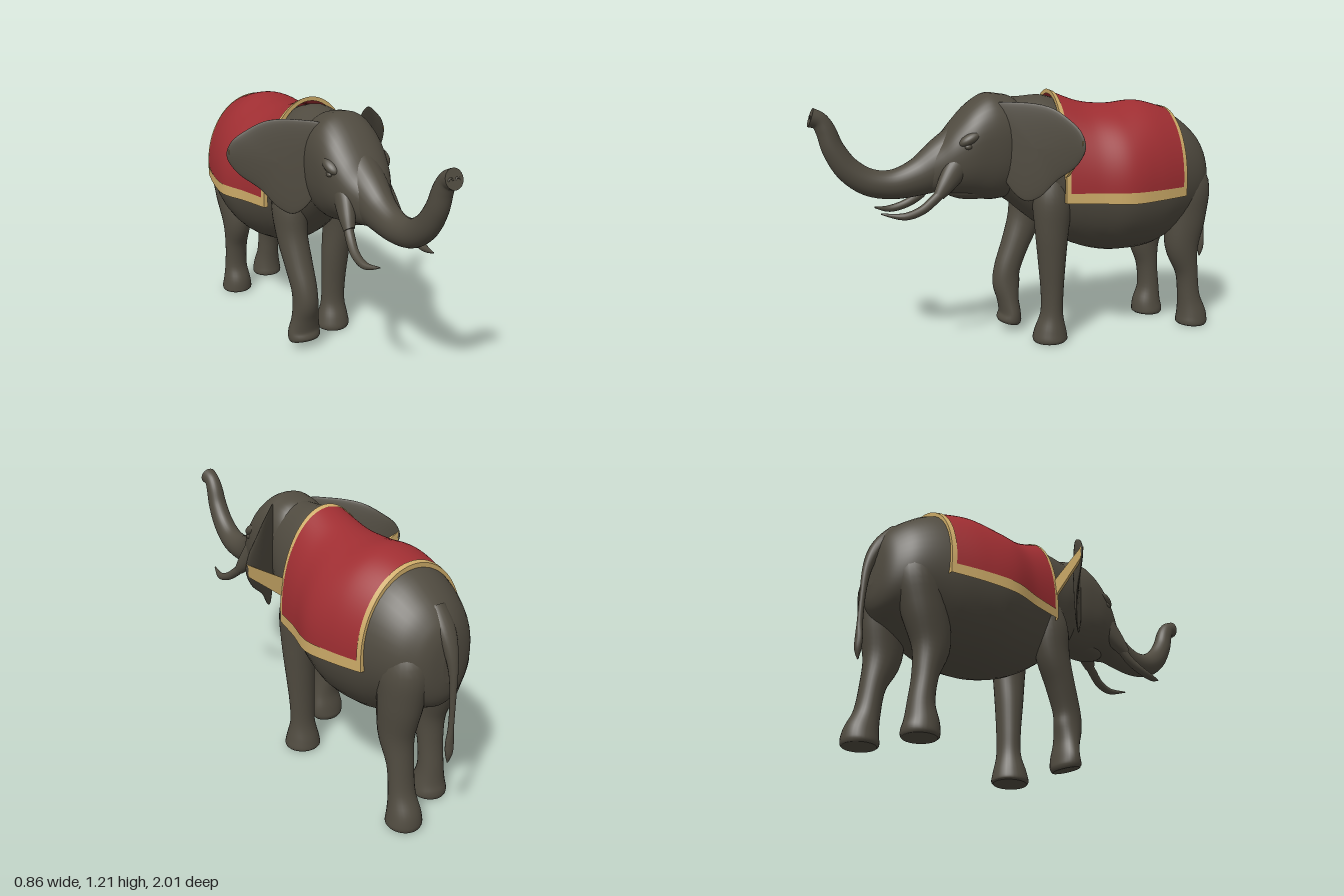
import * as THREE from 'three';

const hide = new THREE.MeshStandardMaterial({ color: 0x504b40 });
hide.name = 'hide grey';
const red = new THREE.MeshStandardMaterial({ color: 0x9f2e32, side: THREE.DoubleSide });
red.name = 'cloth red';
const gold = new THREE.MeshStandardMaterial({ color: 0xcdab68, side: THREE.DoubleSide });
gold.name = 'trim gold';

// Catmull-Rom sample of a list of number rows, t in 0..1
function sample(rows, t) {
  const n = rows.length - 1, f = Math.min(t * n, n - 1e-6), i = Math.floor(f), u = f - i;
  const at = k => rows[Math.max(0, Math.min(n, k))];
  return rows[i].map((_, c) => {
    const a = at(i - 1)[c], b = at(i)[c], d = at(i + 1)[c], e = at(i + 2)[c];
    return b + 0.5 * u * (d - a + u * (2 * a - 5 * b + 4 * d - e + u * (3 * (b - d) + e - a)));
  });
}

function geometry(pos, idx) {
  const g = new THREE.BufferGeometry();
  g.setAttribute('position', new THREE.Float32BufferAttribute(pos, 3));
  g.setIndex(idx);
  g.computeVertexNormals();
  return g;
}

// Joins closed rings of points and caps both ends with a crisp edge
function skin(rings) {
  const pos = [], idx = [], n = rings[0].length;
  rings.forEach(r => r.forEach(p => pos.push(p.x, p.y, p.z)));
  for (let i = 0; i < rings.length - 1; i++) {
    for (let j = 0; j < n; j++) {
      const a = i * n + j, b = i * n + (j + 1) % n;
      idx.push(a, b, a + n, b, b + n, a + n);
    }
  }
  [rings[0], rings[rings.length - 1]].forEach((r, end) => {
    const base = pos.length / 3, c = new THREE.Vector3();
    r.forEach(p => { c.add(p); pos.push(p.x, p.y, p.z); });
    c.divideScalar(n);
    pos.push(c.x, c.y, c.z);
    for (let j = 0; j < n; j++) {
      const k = (j + 1) % n;
      idx.push(base + n, base + (end ? j : k), base + (end ? k : j));
    }
  });
  return geometry(pos, idx);
}

// Smooth loft through rows of [x, y, z, halfWidth, halfDepth]; upright keeps the rings vertical
function loft(rows, { steps = 40, sides = 28, power = 1, taper = 0, upright = false } = {}) {
  const X = new THREE.Vector3(1, 0, 0), rings = [];
  const sp = v => Math.sign(v) * Math.pow(Math.abs(v), power);
  for (let i = 0; i <= steps; i++) {
    const t = i / steps;
    const [x, y, z, rx, ry] = sample(rows, t);
    const p = sample(rows, Math.max(0, t - 0.02)), q = sample(rows, Math.min(1, t + 0.02));
    const N = new THREE.Vector3(0, upright ? 0 : q[1] - p[1], q[2] - p[2]).normalize().cross(X);
    const ring = [];
    for (let j = 0; j < sides; j++) {
      const a = j / sides * Math.PI * 2, s = sp(Math.sin(a));
      const w = rx * sp(Math.cos(a)) * (1 + taper * s * N.y);
      ring.push(new THREE.Vector3(x + w, y + N.y * s * ry, z + N.z * s * ry));
    }
    rings.push(ring);
  }
  return skin(rings);
}

// Leaf-like ear, thick in the middle, swept back towards the rim
function earGeometry(s) {
  const outline = [[.09, 1.15], [.17, 1.165], [.27, 1.15], [.35, 1.1], [.41, 1.045], [.43, .98], [.39, .9],
    [.3, .82], [.24, .74], [.195, .715], [.155, .75], [.11, .87]].reverse();
  const curve = new THREE.CatmullRomCurve3(outline.map(([x, y]) => new THREE.Vector3(x, y, 0)), true);
  const pts = curve.getPoints(56).slice(0, -1), rings = [], n = 10;
  for (let i = -n; i <= n; i++) {
    const k = Math.max(.02, Math.cos(i / n * Math.PI / 2)), half = .02 * Math.sin(i / n * Math.PI / 2);
    rings.push(pts.map(p => {
      const x = .24 + (p.x - .24) * k, y = .96 + (p.y - .96) * k;
      const sweep = .12 - (x - .15) * .85 - .03 * Math.sin((x - .15) * 11);
      return new THREE.Vector3(s * x, y, sweep + half);
    }));
  }
  return skin(s > 0 ? rings : rings.reverse());
}

// Draped cloth: rows of [z, top, halfWidth, hem]
const drape = [[-.11, 1.205, .247, .70], [-.265, 1.15, .28, .695], [-.42, 1.135, .322, .69],
  [-.575, 1.145, .305, .695], [-.73, 1.105, .266, .70]];
function clothPoint(t, v, off) {
  const [z, top, w, hem] = sample(drape, t), a = Math.abs(v), s = Math.sign(v);
  if (a <= .85) {
    const g = a / .85 * Math.PI / 2;
    return [s * (w + off) * Math.sin(g), .76 + (top + off - .76) * Math.cos(g), z];
  }
  return [s * (w + off), .76 + (hem - .76) * (a - .85) / .15, z];
}
function patch(nu, nv, fn) {
  const pos = [], idx = [];
  for (let i = 0; i <= nu; i++) for (let j = 0; j <= nv; j++) {
    pos.push(...fn(i / nu, j / nv));
    if (i < nu && j < nv) {
      const a = i * (nv + 1) + j, b = a + nv + 1;
      idx.push(a, b, a + 1, a + 1, b, b + 1);
    }
  }
  return geometry(pos, idx);
}

export function createModel() {
  const model = new THREE.Group();
  const add = (name, geo, mat = hide) => {
    const m = new THREE.Mesh(geo, mat);
    m.name = name;
    model.add(m);
    return m;
  };
  const ball = (name, x, y, z, a, b, c) => {
    const m = add(name, new THREE.SphereGeometry(1, 24, 16));
    m.position.set(x, y, z);
    m.scale.set(a, b, c);
    return m;
  };

  // Body and neck, from [z, top, bottom, halfWidth]
  add('body', loft([[.2, 1.15, .74, .13], [.11, 1.175, .695, .16], [.03, 1.18, .63, .185], [-.06, 1.185, .56, .205],
    [-.13, 1.17, .51, .225], [-.21, 1.14, .465, .25], [-.32, 1.12, .425, .278], [-.45, 1.11, .405, .3],
    [-.62, 1.12, .415, .285], [-.75, 1.08, .47, .25], [-.85, 1.01, .52, .205], [-.91, .945, .55, .15],
    [-.94, .885, .6, .095], [-.952, .81, .67, .03]]
    .map(([z, t, b, w]) => [0, (t + b) / 2, z, w, (t - b) / 2]), { steps: 78, sides: 40, upright: true }));

  // Head, jaw and raised trunk
  add('head', loft([[0, .95, .02, .13, .18], [0, .95, .08, .15, .23], [0, .95, .14, .162, .245],
    [0, .95, .21, .165, .247], [0, .935, .29, .16, .21], [0, .9, .37, .138, .16], [0, .865, .43, .108, .12],
    [0, .84, .49, .07, .085]], { power: .85, taper: .06, sides: 40, steps: 48, upright: true }));
  ball('jaw', 0, .755, .26, .08, .05, .14);
  add('trunk', loft([[0, .93, .28, .12, .16], [0, .88, .4, .1, .125], [0, .825, .52, .073, .088],
    [0, .797, .64, .061, .068], [0, .813, .75, .056, .062], [0, .875, .84, .051, .057], [0, .965, .9, .047, .05],
    [0, 1.05, .93, .042, .044], [0, 1.095, .957, .038, .04], [0, 1.112, .995, .042, .043]], { steps: 60 }));

  for (const s of [1, -1]) {
    const side = s > 0 ? 'left' : 'right', low = s > 0 ? 0 : -.02;
    const nostril = add(side + 'Nostril', new THREE.TorusGeometry(.011, .004, 8, 16));
    nostril.position.set(s * .017, 1.105, .994);
    ball(side + 'Eye', s * .147, .97, .325, .013, .012, .018);
    ball(side + 'Brow', s * .125, 1.005, .31, .04, .028, .06).rotation.x = .5;
    add(side + 'Ear', earGeometry(s));

    // Tusk and its socket
    add(side + 'TuskSocket', loft([[s * .085, .95, .31, .045, .05], [s * .1, .87, .37, .042, .055],
      [s * .115, .8, .425, .036, .042], [s * .126, .755, .462, .026, .026]], { steps: 20 }));
    add(side + 'Tusk', loft([[s * .12, .785, .43, .022, .022], [s * .133, .738 + low, .485, .022, .022],
      [s * .148, .695 + low, .55, .02, .02], [s * .15, .675 + low, .63, .016, .016],
      [s * .128, .69 + low, .725 + low, .003, .003]], { steps: 24, sides: 16 }));

    // Hind leg, the right one a step further forward
    const f = s > 0 ? 0 : 1;
    add(side + 'HindLeg', loft([[s * .085, .9, -.78, .06, .06], [s * .11, .74, -.81 + f * .02, .105, .12],
      [s * .122, .58, -.81 + f * .05, .093, .108], [s * .125, .42, -.797 + f * .08, .074, .088],
      [s * .125, .28, -.83 + f * .095, .06, .056], [s * .125, .15, -.847 + f * .1, .06, .056],
      [s * .125, .06, -.865 + f * .125, .074, .075], [s * .125, .015, -.868 + f * .125, .08, .08],
      [s * .125, 0, -.868 + f * .125, .072, .072]]));

    // Gold strip rising along the back edge of the ear
    const strip = new THREE.Shape([[.24, .82], [.415, .95], [.424, 1.01], [.24, .91]]
      .map(([x, y]) => new THREE.Vector2(s * x, y)));
    add(side + 'EarTrim', new THREE.ExtrudeGeometry(strip, { depth: .012, bevelEnabled: false }), gold)
      .position.z = -.12;
  }

  // Front legs: left planted, right lifted with bent wrist
  add('leftFrontLeg', loft([[.12, .88, -.09, .06, .06], [.135, .72, -.085, .085, .095], [.14, .56, -.082, .074, .082],
    [.13, .4, -.087, .07, .066], [.123, .25, -.092, .063, .054], [.12, .14, -.092, .062, .054],
    [.116, .06, -.088, .078, .076], [.115, .015, -.086, .086, .085], [.115, 0, -.086, .078, .078]]));
  add('rightFrontLeg', loft([[-.12, .88, -.09, .06, .06], [-.135, .72, -.07, .085, .095], [-.138, .57, -.045, .074, .085],
    [-.132, .44, .005, .068, .07], [-.125, .32, .05, .062, .066], [-.122, .24, .058, .062, .068],
    [-.12, .16, .05, .07, .053], [-.122, .095, .04, .083, .052], [-.122, .055, .043, .083, .06],
    [-.122, .037, .046, .074, .052]]));

  // Tail with a broad root and a tuft
  add('tail', loft([[0, .97, -.86, .04, .03], [0, .89, -.92, .045, .03], [0, .81, -.958, .032, .026],
    [0, .72, -.979, .019, .019], [0, .6, -.986, .013, .013], [0, .48, -.986, .012, .013], [0, .41, -.984, .02, .015],
    [0, .36, -.984, .017, .014], [0, .315, -.98, .003, .003]], { sides: 16 }));

  // Cloth, side hems, and end bands with lips turned in towards the body
  add('cloth', patch(32, 48, (u, v) => clothPoint(u, (v * 2 - 1) * .9, 0)), red);
  for (const s of [1, -1]) {
    add('sideHem', patch(32, 4, (u, v) => clothPoint(u, s * (.885 + v * .115), .004)), gold);
  }
  for (const end of [0, 1]) {
    add(end ? 'rearBand' : 'frontBand',
      patch(3, 60, (u, v) => clothPoint(end ? 1 - u * .05 : u * .05, v * 2 - 1, .004)), gold);
    add(end ? 'rearLip' : 'frontLip',
      patch(1, 60, (u, v) => clothPoint(end, v * 2 - 1, .004 - u * .02)), gold);
  }
  return model;
}
